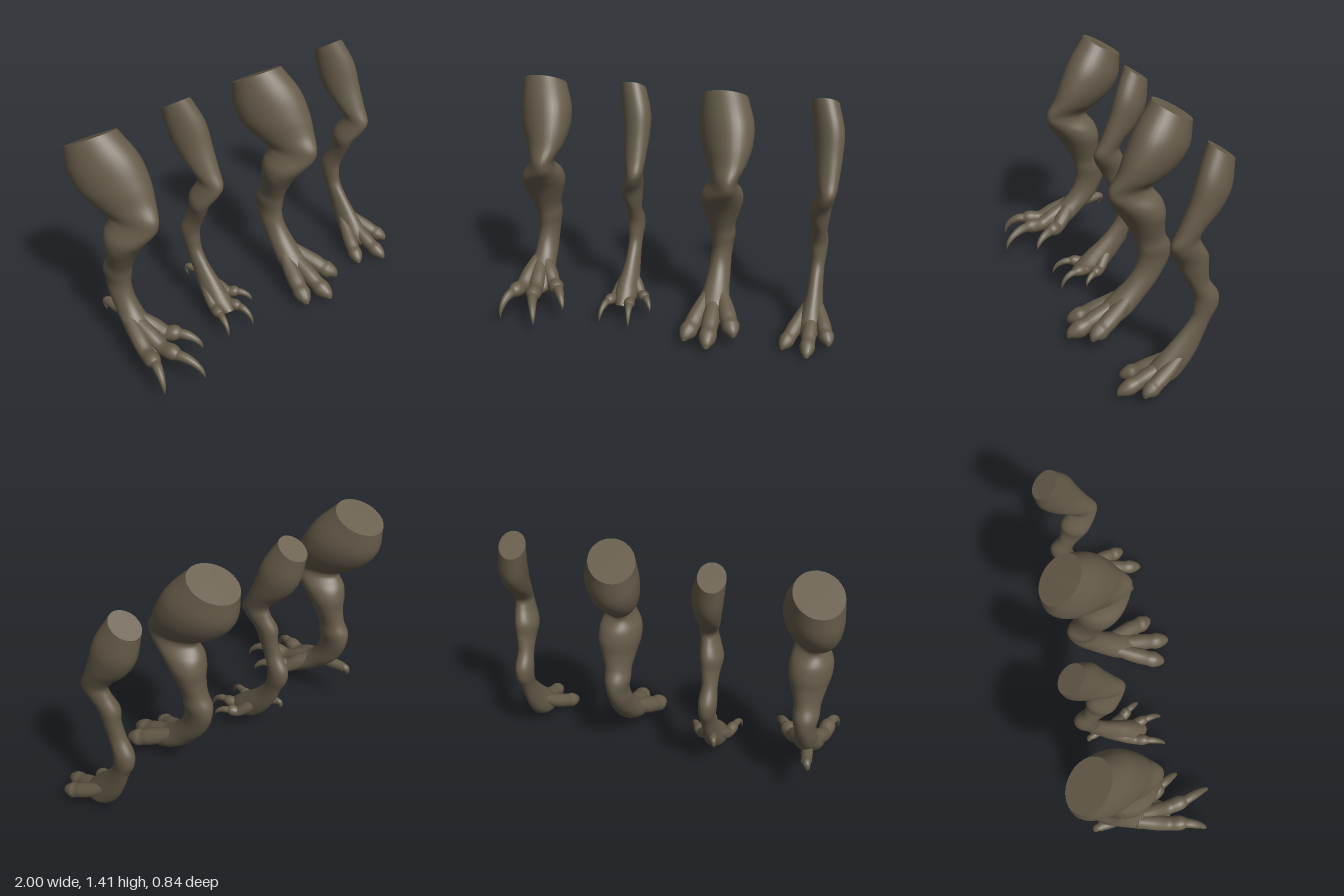
import * as THREE from 'three';

const V = (x, y, z) => new THREE.Vector3(x, y, z);
const hide = new THREE.MeshStandardMaterial({ color: 0x665c4a });
hide.name = 'olive brown hide';

// Skin a list of elliptical rings { c, u, v } and close both ends with flat caps
function loft(rings, sides) {
  const pos = [], idx = [];
  const addRing = ({ c, u, v }) => {
    for (let j = 0; j < sides; j++) {
      const a = (j / sides) * Math.PI * 2;
      const p = c.clone().addScaledVector(u, Math.cos(a)).addScaledVector(v, Math.sin(a));
      pos.push(p.x, p.y, p.z);
    }
  };
  rings.forEach(addRing);
  for (let i = 0; i < rings.length - 1; i++) {
    for (let j = 0; j < sides; j++) {
      const a = i * sides + j, b = i * sides + (j + 1) % sides;
      idx.push(a, b, a + sides, b, b + sides, a + sides);
    }
  }
  [rings[0], rings[rings.length - 1]].forEach((ring, end) => {
    const base = pos.length / 3;
    addRing(ring);
    pos.push(ring.c.x, ring.c.y, ring.c.z);
    for (let j = 0; j < sides; j++) {
      const a = base + j, b = base + (j + 1) % sides;
      if (end) idx.push(base + sides, a, b);
      else idx.push(base + sides, b, a);
    }
  });
  const geo = new THREE.BufferGeometry();
  geo.setAttribute('position', new THREE.Float32BufferAttribute(pos, 3));
  geo.setIndex(idx);
  geo.computeVertexNormals();
  return geo;
}

function mesh(name, geo) {
  const m = new THREE.Mesh(geo, hide);
  m.name = name;
  return m;
}

const smooth = pts => new THREE.CatmullRomCurve3(pts, false, 'centripetal');

// Tapering tube through points [x, y, z, radius]
function taper(name, pts, steps = 24, sides = 16) {
  const path = new THREE.CatmullRomCurve3(pts.map(p => V(p[0], p[1], p[2])), false, 'catmullrom');
  const size = new THREE.CatmullRomCurve3(pts.map((p, i) => V(p[3], i, 0)), false, 'catmullrom');
  const first = pts[0], last = pts[pts.length - 1];
  const side = V(last[2] - first[2], 0, first[0] - last[0]).normalize();
  const rings = [];
  for (let i = 0; i <= steps; i++) {
    const t = i / steps, r = Math.max(size.getPoint(t).x, 0.001);
    const u = side.clone();
    const v = path.getTangent(t).cross(u).normalize();
    rings.push({ c: path.getPoint(t), u: u.multiplyScalar(r), v: v.multiplyScalar(r) });
  }
  return mesh(name, loft(rings, sides));
}

// Rows: front z, front y, back z, back y, centre x, half width, sideways skew of the front
const thickLeg = [
  [-.175, 1.405, -.415, 1.265, .245, .135, .025], [-.06, 1.27, -.405, 1.13, .272, .16, .052],
  [.01, 1.14, -.35, 1.04, .287, .15, .06], [.055, 1.04, -.26, .97, .302, .115, .055],
  [.105, .96, -.19, .93, .307, .08, .045], [.103, .90, -.18, .90, .302, .085, .038],
  [.06, .82, -.225, .84, .287, .115, 0], [.01, .75, -.245, .77, .282, .115, -.018],
  [-.04, .67, -.245, .69, .279, .094, -.018], [-.085, .58, -.26, .60, .275, .073, -.008],
  [-.10, .52, -.295, .53, .273, .073, 0], [-.105, .45, -.295, .46, .273, .062, 0],
  [-.085, .38, -.265, .38, .27, .062, 0], [-.035, .31, -.215, .30, .273, .066, 0],
  [.03, .25, -.145, .22, .275, .075, 0], [.09, .20, -.065, .14, .28, .088, 0],
  [.135, .15, .03, .085, .287, .085, 0], [.17, .12, .09, .075, .29, .05, 0],
];
const thinLeg = [
  [-.235, 1.39, -.38, 1.29, .815, .078, .01], [-.165, 1.25, -.36, 1.14, .848, .088, .025],
  [-.115, 1.1, -.30, 1.04, .863, .078, .025], [-.06, .97, -.215, .96, .875, .064, .018],
  [-.02, .89, -.185, .91, .882, .052, .012], [-.03, .84, -.20, .87, .872, .053, .004],
  [-.08, .75, -.245, .79, .845, .059, -.012], [-.12, .67, -.25, .71, .845, .049, -.01],
  [-.165, .59, -.27, .62, .84, .045, 0], [-.19, .52, -.325, .53, .837, .052, 0],
  [-.19, .46, -.325, .46, .838, .049, 0], [-.18, .40, -.285, .38, .84, .041, 0],
  [-.12, .32, -.25, .29, .842, .042, 0], [-.05, .245, -.21, .20, .845, .05, 0],
  [.01, .185, -.15, .11, .845, .062, 0], [.06, .13, -.08, .05, .848, .068, 0],
  [.11, .08, .04, .03, .85, .04, 0],
];

// Thigh, shin, hock and instep as one smooth limb; lift raises the sole
function limb(rows, dx, lift) {
  const up = y => y + lift * THREE.MathUtils.clamp((0.3 - y) / 0.15, 0, 1);
  const front = smooth(rows.map(r => V(r[4] + dx + r[6], up(r[1]), r[0])));
  const back = smooth(rows.map(r => V(r[4] + dx - r[6], up(r[3]), r[2])));
  const width = new THREE.CatmullRomCurve3(rows.map((r, i) => V(r[5], i * 0.1, 0)));
  const rings = [], steps = 84;
  for (let i = 0; i <= steps; i++) {
    const t = i / steps, f = front.getPoint(t), b = back.getPoint(t);
    rings.push({
      c: f.clone().add(b).multiplyScalar(0.5),
      u: V(width.getPoint(t).x, 0, 0),
      v: f.clone().sub(b).multiplyScalar(0.5),
    });
  }
  return mesh('limb', loft(rings, 36));
}

// Rounded toe running from the ankle, ending in a blunt nail
function paddedToe([ax, ay, az], [x, y, z], r) {
  const at = (t, h, k) => [ax + (x - ax) * t, h, az + (z - az) * t, r * k];
  const drop = t => ay + (y + r * 0.5 - ay) * t;
  return taper('paddedToe', [
    at(0, ay, .6), at(.3, drop(.42), .88), at(.55, drop(.7), .98), at(.7, drop(.86), .92),
    at(.82, drop(.96), 1.0), at(.94, drop(1.06), .68), at(1.01, y - r * .1, .2),
  ]);
}

// Slender toe with a knuckle, and a hooked claw at its end
function clawedToe(group, [ax, ay, az], [x, y, z], [cx, cy, cz], r) {
  const at = (t, h, k) => [ax + (x - ax) * t, h, az + (z - az) * t, r * k];
  group.add(taper('clawedToe', [
    at(0, ay, .85), at(.35, ay + (y - ay) * .6, 1.05), at(.65, y - r * .15, .95),
    at(.9, y, 1.0), at(1.05, y - r * .05, .6),
  ]));
  const arc = (t, h, k) => [x + (cx - x) * t, y + (cy - y) * h, z + (cz - z) * t, r * k];
  group.add(taper('claw', [
    arc(-.1, 0, .65), arc(.3, 0, .62), arc(.68, .22, .45), arc(.92, .6, .27), arc(1, 1, .02),
  ], 16, 12));
}

// Small raised hind toe from a to b, with a hook curling down and forward
function hindToe(group, a, b, r) {
  const mid = a.map((v, i) => (v + b[i]) / 2);
  group.add(taper('hindToe', [[...a, r * .7], [...mid, r * .75], [...b, r * .65]], 10, 12));
  const [x, y, z] = b;
  group.add(taper('hindClaw', [
    [x, y, z + .01, r * .55], [x - .005, y - .005, z - .015, r * .5],
    [x - .01, y - .03, z - .022, r * .32], [x - .01, y - .062, z - .008, .001],
  ], 14, 12));
}

// Leg settings: ankle point, toe ends, claw tips
const legs = [
  { name: 'rightThickClawedLeg', rows: thickLeg, dx: -1.105, lift: .03, ankle: [-.84, .26, -.05], r: .045,
    toes: [[-.905, .172, .24], [-.775, .172, .26], [-.665, .175, .13]],
    claws: [[-.94, .06, .37], [-.705, .075, .42], [-.59, .10, .245]],
    spur: [[-.84, .26, -.12], [-.87, .265, -.27]] },
  { name: 'rightThinClawedLeg', rows: thinLeg, dx: -1.125, lift: .03, ankle: [-.285, .21, -.12], r: .033,
    toes: [[-.355, .122, .10], [-.22, .118, .11], [-.15, .13, .01]],
    claws: [[-.375, .04, .21], [-.195, .03, .21], [-.10, .08, .08]],
    spur: [[-.285, .25, -.17], [-.32, .26, -.235]] },
  { name: 'leftThickPaddedLeg', rows: thickLeg, dx: 0, lift: 0, ankle: [.275, .23, -.04], r: .052,
    toes: [[.165, .045, .285], [.31, .045, .335], [.445, .085, .235]] },
  { name: 'leftThinPaddedLeg', rows: thinLeg, dx: 0, lift: 0, ankle: [.845, .19, -.11], r: .044,
    toes: [[.715, .015, .17], [.865, .025, .24], [.975, .06, .135]] },
];

export function createModel() {
  const model = new THREE.Group();
  model.name = 'fourLegs';
  for (const leg of legs) {
    const g = new THREE.Group();
    g.name = leg.name;
    g.add(limb(leg.rows, leg.dx, leg.lift));
    leg.toes.forEach((tip, i) => {
      const start = [leg.ankle[0] + (i - 1) * leg.r * .6, leg.ankle[1], leg.ankle[2]];
      if (leg.claws) clawedToe(g, start, tip, leg.claws[i], leg.r);
      else g.add(paddedToe(start, tip, leg.r));
    });
    if (leg.spur) hindToe(g, leg.spur[0], leg.spur[1], leg.r);
    model.add(g);
  }
  return model;
}
